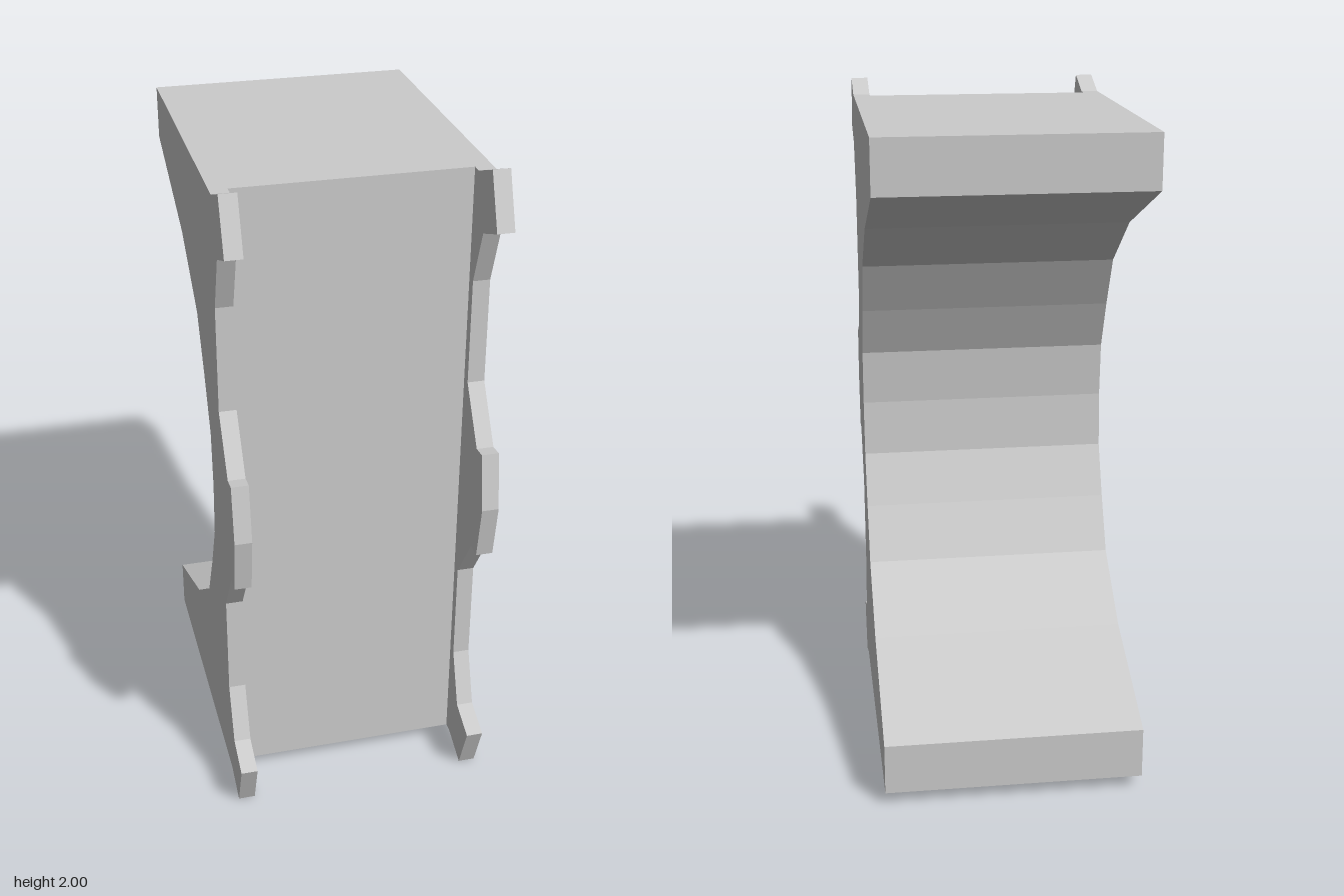
import * as THREE from 'three';

const PLATE = 0.05; // side plate thickness
const HALF = 0.385; // half of the overall width

// Upper halves of the outlines as [z, y], mirrored about y = 1
const frontEdge = [
  [0.548, 1], [0.52, 1.17], [0.475, 1.165], [0.37, 1.325], [0.37, 1.64],
  [0.43, 1.805], [0.535, 1.845], [0.475, 2], [0.37, 1.96],
];
const coreFront = [[0.34, 1.96]];
const archEdge = [
  [-0.548, 1.96], [-0.548, 1.805], [-0.16, 1.645], [0.06, 1.485],
  [0.145, 1.325], [0.215, 1.17], [0.228, 1],
];

// Closes a half outline with its mirror image
function mirroredShape(half) {
  const lower = half.filter(([, y]) => y > 1).reverse().map(([z, y]) => [z, 2 - y]);
  return new THREE.Shape([...half, ...lower].map(([z, y]) => new THREE.Vector2(z, y)));
}

// Extrudes a side outline along x, centred on x = 0
function slab(name, half, width, material) {
  const geometry = new THREE.ExtrudeGeometry(mirroredShape(half), { depth: width, bevelEnabled: false });
  geometry.translate(0, 0, -width / 2);
  geometry.rotateY(-Math.PI / 2);
  const mesh = new THREE.Mesh(geometry, material);
  mesh.name = name;
  return mesh;
}

export function createModel() {
  const group = new THREE.Group();
  group.name = 'archedBracket';
  const material = new THREE.MeshStandardMaterial({ color: 0xcccccc, flatShading: true });

  // Wide body with the arched recess at the back
  group.add(slab('core', [...coreFront, ...archEdge], 2 * (HALF - PLATE), material));

  // Notched plates on both sides, standing proud at the front
  for (const [name, side] of [['leftPlate', 1], ['rightPlate', -1]]) {
    const plate = slab(name, [...frontEdge, ...archEdge], PLATE, material);
    plate.position.x = side * (HALF - PLATE / 2);
    group.add(plate);
  }
  return group;
}
